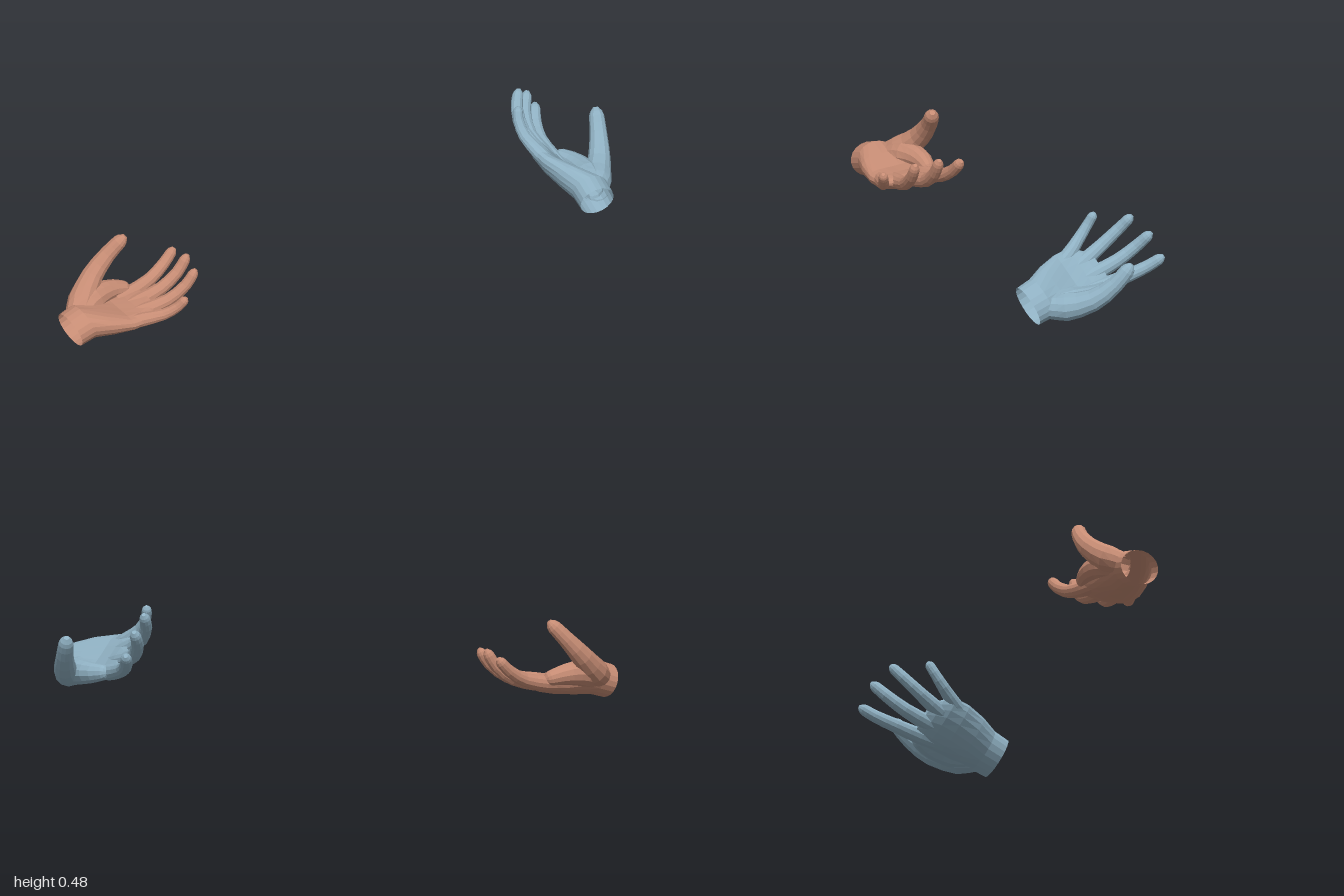
import * as THREE from 'three';

const V = (a) => new THREE.Vector3(...a);
const SIDES = 12;

// Hand space: x runs from wrist to fingertips, y towards the thumb side, z out of the palm.
// Each digit: joints from base to tip, with a radius at every joint.
const DIGITS = {
  thumb: { joints: [[0.045, 0.04, 0.005], [0.105, 0.083, 0.02], [0.195, 0.124, 0.062], [0.285, 0.127, 0.112], [0.368, 0.106, 0.163]],
    radii: [0.045, 0.055, 0.043, 0.033, 0.027] },
  indexFinger: { joints: [[0.23, 0.055, -0.06], [0.30, 0.065, -0.072], [0.40, 0.077, -0.078], [0.48, 0.090, -0.06], [0.547, 0.097, -0.024]],
    radii: [0.03, 0.032, 0.027, 0.024, 0.021] },
  middleFinger: { joints: [[0.23, 0.005, -0.068], [0.305, 0.006, -0.077], [0.405, 0.006, -0.083], [0.49, 0.002, -0.053], [0.552, 0, 0]],
    radii: [0.03, 0.032, 0.027, 0.024, 0.021] },
  ringFinger: { joints: [[0.21, -0.042, -0.065], [0.285, -0.055, -0.075], [0.385, -0.075, -0.078], [0.47, -0.089, -0.048], [0.527, -0.095, 0]],
    radii: [0.03, 0.031, 0.026, 0.023, 0.02] },
  littleFinger: { joints: [[0.18, -0.082, -0.055], [0.25, -0.105, -0.064], [0.325, -0.14, -0.068], [0.38, -0.166, -0.049], [0.418, -0.183, -0.018]],
    radii: [0.028, 0.028, 0.023, 0.02, 0.018] },
  // Flesh joining the thumb to the index knuckle
  thumbWeb: { joints: [[0.06, 0.035, -0.005], [0.14, 0.072, 0.002], [0.23, 0.09, -0.02], [0.31, 0.08, -0.06]],
    radii: [0.045, 0.055, 0.042, 0.026] },
};

// Palm sections: x, centre y, half width, centre z, half thickness, hollow of the palm
const PALM = [
  [-0.012, 0, 0.082, -0.002, 0.066, 0],
  [0.05, 0, 0.086, 0, 0.069, 0.002],
  [0.12, -0.012, 0.1, -0.022, 0.065, 0.018],
  [0.2, -0.02, 0.11, -0.053, 0.05, 0.022],
  [0.26, -0.02, 0.11, -0.069, 0.039, 0.012],
  [0.3, -0.01, 0.093, -0.074, 0.031, 0.006],
  [0.33, 0.002, 0.075, -0.076, 0.02, 0],
];

// Skin a list of equal rings, open at the start and closed at the far end
function skin(rings) {
  const n = rings[0].length, pos = [], idx = [];
  rings.flat().forEach((p) => pos.push(p.x, p.y, p.z));
  for (let i = 0; i < rings.length - 1; i++) {
    for (let j = 0; j < n; j++) {
      const k = (j + 1) % n, a = i * n, b = a + n;
      idx.push(a + j, a + k, b + k, a + j, b + k, b + j);
    }
  }
  const c = new THREE.Vector3(), last = (rings.length - 1) * n, tip = rings.length * n;
  rings.at(-1).forEach((p) => c.addScaledVector(p, 1 / n));
  pos.push(c.x, c.y, c.z);
  for (let j = 0; j < n; j++) idx.push(tip, last + j, last + (j + 1) % n);
  const g = new THREE.BufferGeometry();
  g.setAttribute('position', new THREE.Float32BufferAttribute(pos, 3));
  g.setIndex(idx);
  return g;
}

// Tapered tube along the joints with a rounded tip
function digit({ joints, radii }) {
  const curve = new THREE.CatmullRomCurve3(joints.map(V));
  const stops = [0, 0.12, 0.25, 0.37, 0.5, 0.62, 0.75, 0.85, 0.92, 0.96, 0.985, 1];
  return skin(stops.map((t) => {
    const f = t * (radii.length - 1), i = Math.min(Math.floor(f), radii.length - 2);
    const round = Math.sqrt(Math.max(0.15, 1 - Math.max(0, (t - 0.91) / 0.09) ** 2));
    const r = THREE.MathUtils.lerp(radii[i], radii[i + 1], f - i) * round;
    const c = curve.getPoint(t), dir = curve.getTangent(t);
    const side = new THREE.Vector3(0, 1, 0).addScaledVector(dir, -dir.y).normalize();
    const up = dir.clone().cross(side);
    return Array.from({ length: SIDES }, (_, j) => {
      const a = (j / SIDES) * Math.PI * 2;
      return c.clone().addScaledVector(side, r * Math.cos(a)).addScaledVector(up, r * Math.sin(a));
    });
  }));
}

// Open wrist and palm, hollowed on the inner face
function palm() {
  const n = 20;
  return skin(PALM.map(([x, cy, hw, cz, ht, dip]) => Array.from({ length: n }, (_, j) => {
    const a = (j / n) * Math.PI * 2, s = Math.sin(a);
    return new THREE.Vector3(x, cy + hw * Math.cos(a), cz + ht * s - (s > 0 ? dip * s ** 3 : 0));
  })));
}

// Place a hand by its size, wrist, finger direction and thumb-side direction
function makeHand({ name, color, size, wrist, forward, thumbSide, mirrored }) {
  const group = new THREE.Group();
  group.name = name;
  const material = new THREE.MeshStandardMaterial({ color, flatShading: true, side: THREE.DoubleSide });
  const f = V(forward).normalize(), s = V(thumbSide);
  s.addScaledVector(f, -s.dot(f)).normalize();
  const out = f.clone().cross(s).multiplyScalar(mirrored ? -1 : 1);
  const matrix = new THREE.Matrix4().makeBasis(f, s, out).scale(V([size, size, size])).setPosition(...wrist);
  const add = (part, geometry) => {
    geometry.applyMatrix4(matrix);
    if (mirrored) geometry.index.array.reverse();
    geometry.computeVertexNormals();
    const mesh = new THREE.Mesh(geometry, material);
    mesh.name = part;
    group.add(mesh);
  };
  add('palm', palm());
  for (const [part, spec] of Object.entries(DIGITS)) add(part, digit(spec));
  return group;
}

export function createModel() {
  const model = new THREE.Group();
  model.name = 'pairOfHands';
  model.add(
    makeHand({ name: 'brownHand', color: 0xc68c74, size: 0.97, wrist: [-0.943, 0.071, 0.655],
      forward: [0.746, 0.287, -0.602], thumbSide: [-0.636, 0.037, -0.770], mirrored: false }),
    makeHand({ name: 'blueHand', color: 0x8fb0c2, size: 1, wrist: [0.941, 0.22, -0.237],
      forward: [-0.556, 0.362, -0.750], thumbSide: [0.396, -0.677, -0.620], mirrored: true }),
  );
  return model;
}
